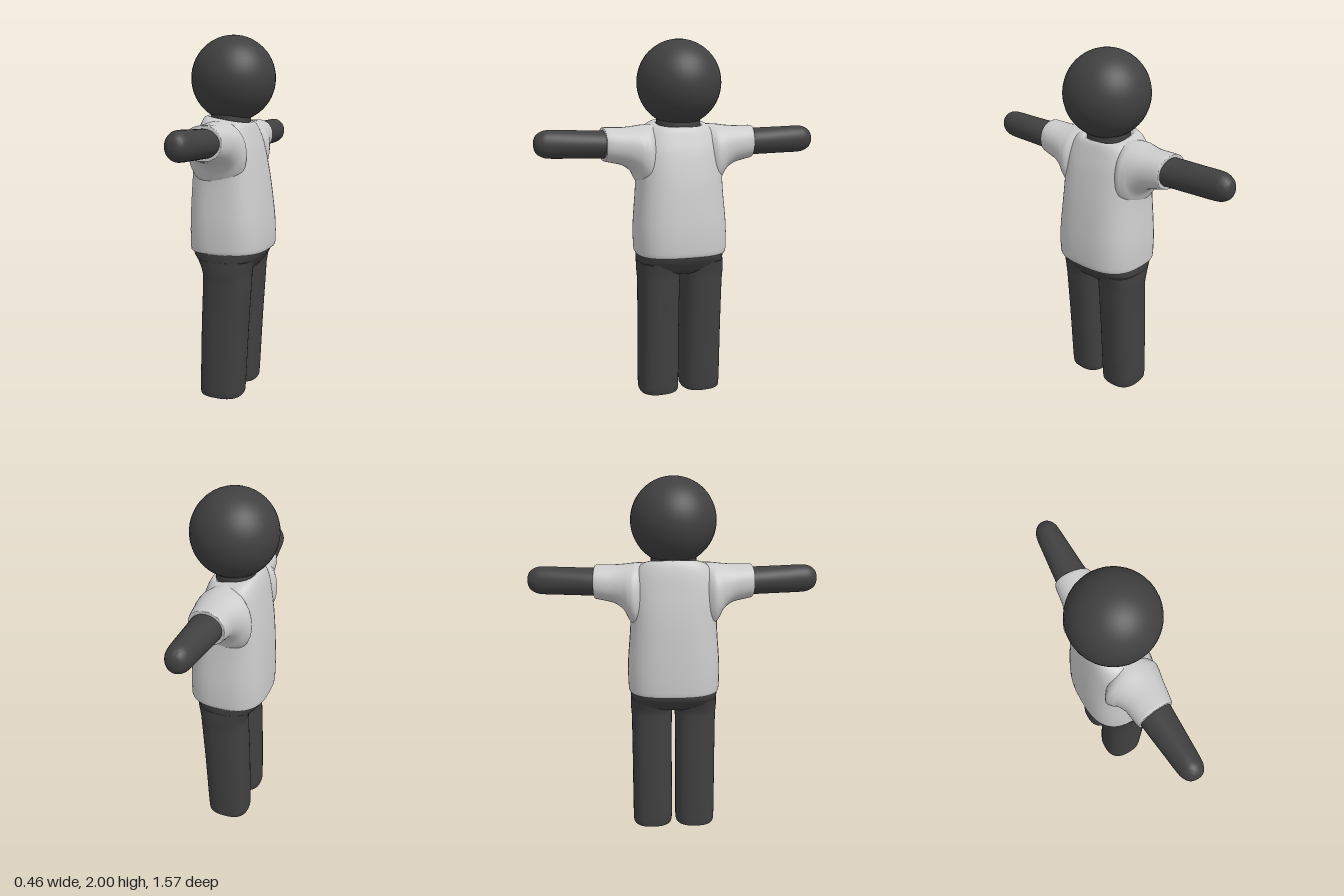
import * as THREE from 'three';
import { toCreasedNormals } from 'three/addons/utils/BufferGeometryUtils.js';

const dark = new THREE.MeshStandardMaterial({ color: 0x404040 });
const cloth = new THREE.MeshStandardMaterial({ color: 0xcccccc });

// Catmull-Rom blend of cross-section rows, so few rows give a smooth skin
function refine(rows, steps) {
  const out = [];
  const at = (i) => rows[Math.min(Math.max(i, 0), rows.length - 1)];
  for (let i = 0; i < rows.length - 1; i++) {
    for (let s = 0; s < steps; s++) {
      const t = s / steps;
      out.push(rows[i].map((p1, k) => {
        const p0 = at(i - 1)[k], p2 = at(i + 1)[k], p3 = at(i + 2)[k];
        return p1 + 0.5 * t * (p2 - p0 + t * (2 * p0 - 5 * p1 + 4 * p2 - p3 + t * (3 * (p1 - p2) + p3 - p0)));
      }));
    }
  }
  out.push(rows[rows.length - 1]);
  return out;
}

// Closed skin through rounded cross-sections; row = [t, aMin, aMax, bMin, bMax]
function loft(rows, { power = 2, place, flip = false, steps = 4, sides = 40 }) {
  const rings = refine(rows, steps);
  const pos = [], idx = [];
  const tri = (a, b, c) => (flip ? idx.push(a, c, b) : idx.push(a, b, c));
  const round = (v) => Math.sign(v) * Math.pow(Math.abs(v), 2 / power);
  for (const [t, a0, a1, b0, b1] of rings) {
    for (let j = 0; j < sides; j++) {
      const w = (j / sides) * Math.PI * 2;
      const a = (a0 + a1) / 2 + ((a1 - a0) / 2) * round(Math.cos(w));
      const b = (b0 + b1) / 2 + ((b1 - b0) / 2) * round(Math.sin(w));
      pos.push(...place(t, a, b));
    }
  }
  for (let i = 0; i < rings.length - 1; i++) {
    for (let j = 0; j < sides; j++) {
      const p = i * sides + j, q = i * sides + ((j + 1) % sides);
      tri(p, p + sides, q);
      tri(q, p + sides, q + sides);
    }
  }
  // end caps
  const last = (rings.length - 1) * sides, c = pos.length / 3;
  for (const [t, a0, a1, b0, b1] of [rings[0], rings[rings.length - 1]]) {
    pos.push(...place(t, (a0 + a1) / 2, (b0 + b1) / 2));
  }
  for (let j = 0; j < sides; j++) {
    const k = (j + 1) % sides;
    tri(c, j, k);
    tri(c + 1, last + k, last + j);
  }
  const geo = new THREE.BufferGeometry();
  geo.setAttribute('position', new THREE.Float32BufferAttribute(pos, 3));
  geo.setIndex(idx);
  return toCreasedNormals(geo, 0.9);
}

export function createModel() {
  const model = new THREE.Group();
  const add = (name, geo, mat) => {
    const mesh = new THREE.Mesh(geo, mat);
    mesh.name = name;
    model.add(mesh);
    return mesh;
  };
  const upright = (y, x, z) => [x, y, z];

  // head and neck
  add('head', new THREE.SphereGeometry(0.229, 40, 28), dark).position.set(0, 1.771, 0);
  const neck = add('neck', new THREE.CylinderGeometry(0.12, 0.128, 0.2, 32), dark);
  neck.position.set(-0.015, 1.53, 0);
  neck.scale.x = 0.88;

  // shirt body, with a neckline that drops towards the chest
  add('shirtBody', loft([
    [0.845, -0.21, 0.212, -0.25, 0.25],
    [0.87, -0.215, 0.22, -0.254, 0.254],
    [1.0, -0.215, 0.217, -0.254, 0.254],
    [1.2, -0.206, 0.194, -0.238, 0.238],
    [1.35, -0.19, 0.166, -0.234, 0.234],
    [1.46, -0.17, 0.138, -0.225, 0.225],
    [1.53, -0.148, 0.117, -0.185, 0.185],
    [1.555, -0.13, 0.1, -0.135, 0.135],
    [1.545, -0.115, 0.085, -0.12, 0.12],
  ], {
    power: 2.8,
    place: (y, x, z) => [x, y - 0.17 * x * THREE.MathUtils.smoothstep(y, 1.4, 1.54), z],
  }), cloth);

  // hips
  add('hips', loft([
    [0.735, -0.1, 0.12, -0.2, 0.2],
    [0.75, -0.125, 0.142, -0.232, 0.232],
    [0.78, -0.16, 0.165, -0.24, 0.24],
    [0.82, -0.193, 0.19, -0.243, 0.243],
    [0.86, -0.2, 0.2, -0.243, 0.243],
  ], { power: 2.7, place: upright }), dark);

  for (const s of [1, -1]) {
    const side = s > 0 ? 'right' : 'left'; // the figure looks along +x
    const sideways = (skew) => (t, x, y) => [x, y, s * (t - skew * x)];

    // sleeve flaring into the shirt body
    add(side + 'Sleeve', loft([
      [0.12, -0.1, 0.08, 1.18, 1.552],
      [0.19, -0.165, 0.14, 1.2, 1.55],
      [0.23, -0.158, 0.14, 1.235, 1.546],
      [0.26, -0.138, 0.13, 1.29, 1.542],
      [0.31, -0.118, 0.117, 1.33, 1.538],
      [0.37, -0.11, 0.106, 1.347, 1.538],
      [0.415, -0.104, 0.096, 1.357, 1.538],
      [0.42, -0.098, 0.09, 1.363, 1.532],
    ], { power: 2.2, place: sideways(0.1), flip: s > 0 }), cloth);

    // arm with a rounded tip
    add(side + 'Arm', loft([
      [0.3, -0.095, 0.09, 1.37, 1.52],
      [0.43, -0.09, 0.083, 1.373, 1.522],
      [0.6, -0.072, 0.076, 1.378, 1.527],
      [0.7, -0.061, 0.071, 1.381, 1.53],
      [0.74, -0.053, 0.066, 1.388, 1.524],
      [0.77, -0.035, 0.05, 1.407, 1.504],
      [0.782, -0.015, 0.03, 1.43, 1.48],
      [0.785, 0.005, 0.01, 1.453, 1.457],
    ], { place: sideways(0), flip: s > 0 }), dark);

    // leg with a rounded foot
    const leg = loft([
      [0.003, -0.08, 0.05, -0.06, 0.06],
      [0.01, -0.11, 0.08, -0.088, 0.088],
      [0.025, -0.13, 0.1, -0.107, 0.107],
      [0.06, -0.137, 0.109, -0.114, 0.114],
      [0.4, -0.13, 0.127, -0.114, 0.114],
      [0.66, -0.12, 0.143, -0.115, 0.115],
      [0.73, -0.122, 0.147, -0.119, 0.119],
      [0.8, -0.15, 0.16, -0.124, 0.119],
    ].map((r) => (s > 0 ? r : [r[0], r[1], r[2], -r[4], -r[3]])), { power: 2.6, place: upright });
    add(side + 'Leg', leg, dark).position.z = s * 0.124;
  }
  return model;
}
